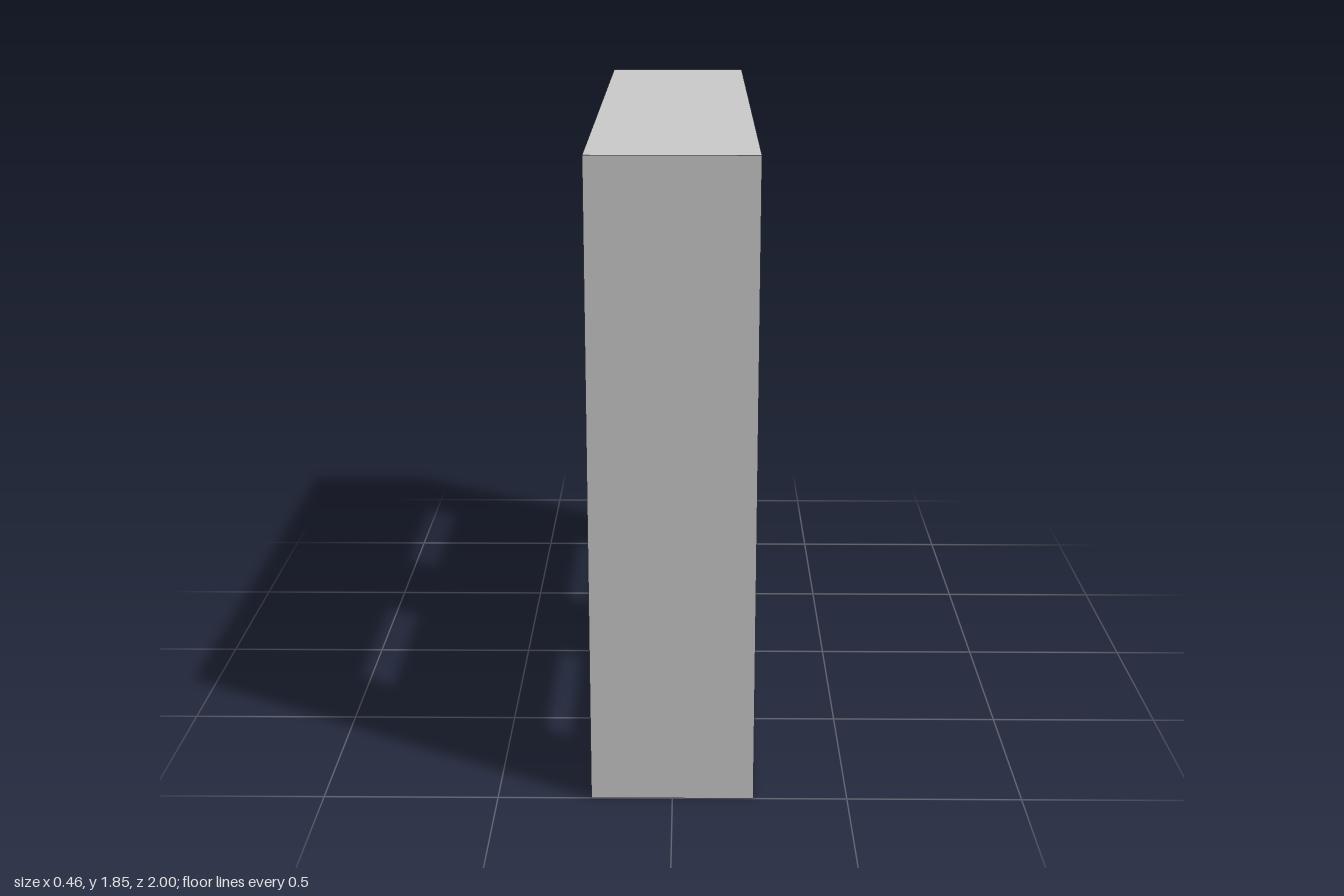
import * as THREE from 'three';

const DEPTH = 0.464;                     // along x
const HALF = 1, TOP = 1.85;              // outer outline
const INNER = 0.932, FLOOR = 0.115, CEILING = 1.74; // opening
const POST = 0.095;                      // half width of the divider
const SHELF_LOW = 0.86, SHELF_HIGH = 0.94;

const material = new THREE.MeshStandardMaterial({ color: 0xcccccc });

// Box given by its extents in z and y, spanning the full depth
function slab(name, z0, z1, y0, y1) {
  const mesh = new THREE.Mesh(new THREE.BoxGeometry(DEPTH, y1 - y0, z1 - z0), material);
  mesh.position.set(0, (y0 + y1) / 2, (z0 + z1) / 2);
  mesh.name = name;
  return mesh;
}

function rectangle(Type, half, y0, y1) {
  return new Type([[-half, y0], [half, y0], [half, y1], [-half, y1]]
    .map(([a, b]) => new THREE.Vector2(a, b)));
}

export function createModel() {
  const group = new THREE.Group();
  group.name = 'cubeShelf';

  // Outer frame: thick base and top, thinner side walls
  const outline = rectangle(THREE.Shape, HALF, 0, TOP);
  outline.holes.push(rectangle(THREE.Path, INNER, FLOOR, CEILING));
  const geometry = new THREE.ExtrudeGeometry(outline, { depth: DEPTH, bevelEnabled: false });
  geometry.translate(0, 0, -DEPTH / 2).rotateY(Math.PI / 2);
  const frame = new THREE.Mesh(geometry, material);
  frame.name = 'outerFrame';
  group.add(frame);

  // Upright divider and the two shelves beside it
  group.add(slab('centreDivider', -POST, POST, FLOOR, CEILING));
  group.add(slab('frontShelf', POST, INNER, SHELF_LOW, SHELF_HIGH));
  group.add(slab('backShelf', -INNER, -POST, SHELF_LOW, SHELF_HIGH));

  return group;
}
